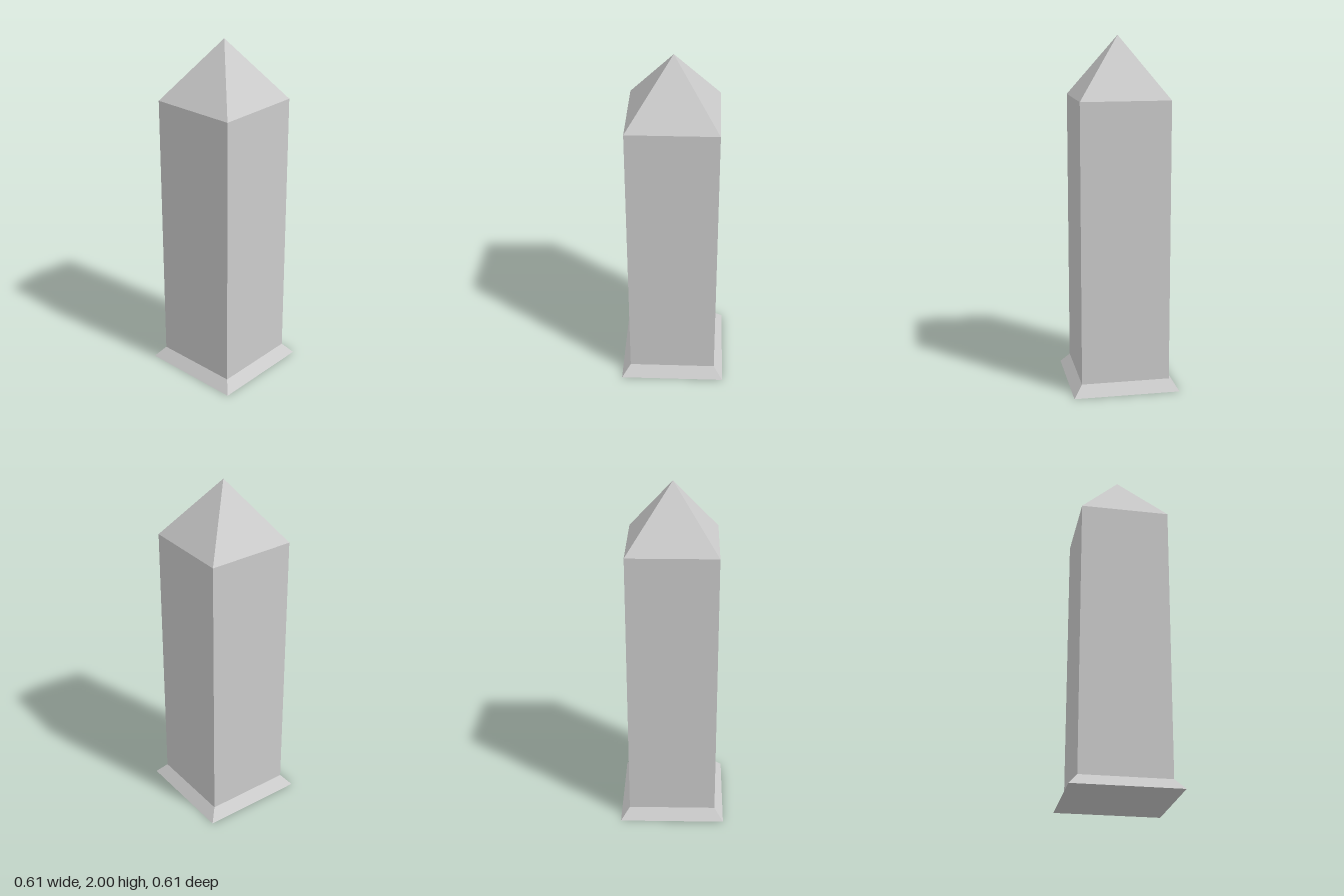
import * as THREE from 'three';

const material = new THREE.MeshStandardMaterial({ color: 0xcccccc, flatShading: true });

// Four-sided section between two heights, given by half widths
function section(name, y0, y1, halfBottom, halfTop, open) {
  const height = y1 - y0;
  const geometry = halfTop === 0
    ? new THREE.ConeGeometry(halfBottom * Math.SQRT2, height, 4, 1, open)
    : new THREE.CylinderGeometry(halfTop * Math.SQRT2, halfBottom * Math.SQRT2, height, 4, 1, open);
  geometry.rotateY(Math.PI / 4);
  geometry.translate(0, y0 + height / 2, 0);
  const mesh = new THREE.Mesh(geometry, material);
  mesh.name = name;
  return mesh;
}

export function createModel() {
  const group = new THREE.Group();
  group.name = 'obelisk';
  group.add(
    section('flaredBase', 0, 0.063, 0.303, 0.252, false), // closed underneath
    section('shaft', 0.063, 1.657, 0.252, 0.252, true),
    section('pyramidTip', 1.657, 2, 0.252, 0, true),
  );
  return group;
}
